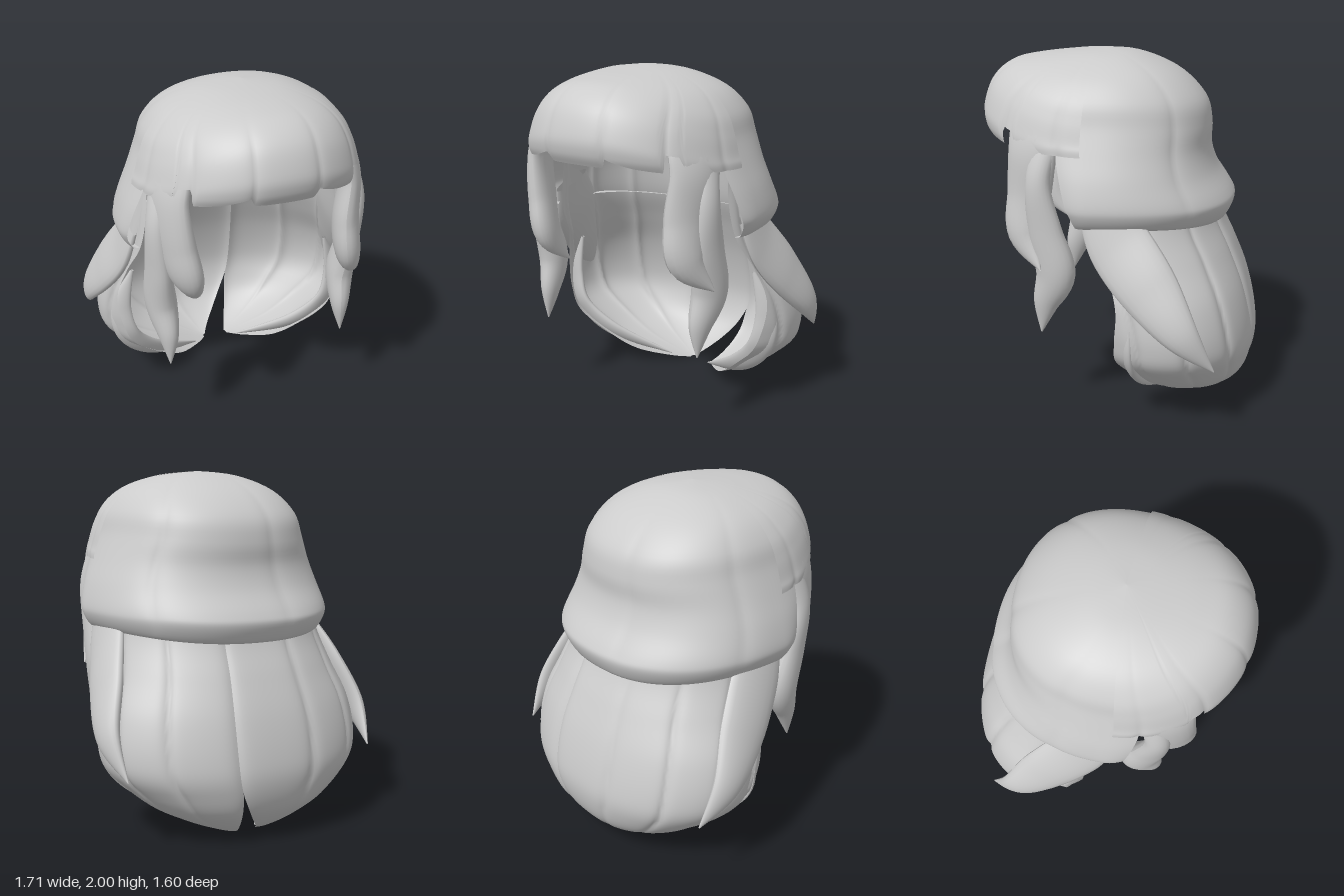
import * as THREE from 'three';

const hairMat = new THREE.MeshStandardMaterial({ color: 0xcccccc, side: THREE.DoubleSide });
hairMat.name = 'hair grey';

const rad = THREE.MathUtils.degToRad;
const bend = (v, e = 0.88) => Math.sign(v) * Math.pow(Math.abs(v), e); // squarer than an ellipse

// Smooth (Catmull-Rom) interpolation through rows of numbers, t = 0..1
function sample(rows, t) {
  const f = t * (rows.length - 1), i = Math.min(Math.floor(f), rows.length - 2), u = f - i;
  const at = (k) => rows[Math.max(0, Math.min(rows.length - 1, k))];
  return rows[0].map((_, c) => {
    const [p, q, r, s] = [at(i - 1)[c], at(i)[c], at(i + 1)[c], at(i + 2)[c]];
    return q + 0.5 * u * (r - p + u * (2 * p - 5 * q + 4 * r - s + u * (3 * (q - r) + s - p)));
  });
}

// Piecewise linear lookup
function lookup(table, x) {
  for (let i = 1; i < table.length; i++) {
    const [x0, y0] = table[i - 1], [x1, y1] = table[i];
    if (x <= x1) return y0 + (y1 - y0) * (x - x0) / (x1 - x0);
  }
  return table[table.length - 1][1];
}

// Smooth sheet from a rule (u, v) -> [x, y, z]
function sheet(name, nu, nv, rule) {
  const pos = [], idx = [];
  for (let j = 0; j <= nv; j++)
    for (let i = 0; i <= nu; i++) pos.push(...rule(i / nu, j / nv));
  for (let j = 0; j < nv; j++)
    for (let i = 0; i < nu; i++) {
      const a = j * (nu + 1) + i, b = a + nu + 1;
      idx.push(a, a + 1, b, a + 1, b + 1, b);
    }
  const geo = new THREE.BufferGeometry();
  geo.setAttribute('position', new THREE.Float32BufferAttribute(pos, 3));
  geo.setIndex(idx);
  geo.computeVertexNormals();
  const mesh = new THREE.Mesh(geo, hairMat);
  mesh.name = name;
  return mesh;
}

// Tapered lock: path rows are [x, y, z, halfWidth, halfThickness]; out is its facing direction
function lock(name, rows, out) {
  const n = new THREE.Vector3(...out).normalize();
  const frame = (t) => {
    const p = sample(rows, t);
    const a = sample(rows, Math.max(0, t - 0.01)), b = sample(rows, Math.min(1, t + 0.01));
    const tan = new THREE.Vector3(b[0] - a[0], b[1] - a[1], b[2] - a[2]).normalize();
    const wide = new THREE.Vector3().crossVectors(tan, n).normalize();
    return { p, wide, thick: new THREE.Vector3().crossVectors(wide, tan) };
  };
  return sheet(name, 20, 36, (u, v) => {
    const { p, wide, thick } = frame(v);
    const a = u * Math.PI * 2, w = p[3] * Math.cos(a), h = p[4] * Math.sin(a);
    return [0, 1, 2].map((k) => p[k] + wide.getComponent(k) * w + thick.getComponent(k) * h);
  });
}

const groove = (a, n, depth) => 1 - depth * Math.pow(1 - Math.abs(Math.sin(a * n)), 4);

export function createModel() {
  const group = new THREE.Group();
  group.name = 'hair';

  // Rounded cap: back radius, back y, side radius, side y, front radius
  const capRows = [
    [0, 2.0, 0, 2.0, 0], [0.2, 1.975, 0.24, 1.97, 0.2], [0.42, 1.88, 0.43, 1.89, 0.4],
    [0.57, 1.74, 0.54, 1.77, 0.52], [0.61, 1.6, 0.585, 1.64, 0.58], [0.61, 1.47, 0.64, 1.5, 0.58],
    [0.65, 1.35, 0.69, 1.37, 0.5], [0.73, 1.23, 0.72, 1.25, 0.4], [0.75, 1.17, 0.715, 1.19, 0.32],
    [0.71, 1.08, 0.68, 1.13, 0.25], [0.67, 1.07, 0.64, 1.12, 0.22],
  ];
  group.add(sheet('cap', 96, 50, (u, v) => {
    const a = rad(106) * (1 - 2 * u), c = Math.cos(a), s2 = Math.sin(a) ** 2;
    const [rb, yb, rs, ys, rf] = sample(capRows, v);
    const m = groove(a + 0.2, 3, 0.02 * Math.sin(Math.PI * Math.min(1, v * 1.1)));
    return [m * rs * bend(Math.sin(a)), ys * s2 + yb * (1 - s2), 0.1 - m * (c > 0 ? rb : rf) * bend(c)];
  }));

  // Fringe: front radius, front y, side radius, side y; the teeth table trims its lower edge
  const fringeRows = [
    [0, 2.0, 0, 2.0], [0.2, 1.985, 0.23, 1.975], [0.38, 1.965, 0.43, 1.895], [0.53, 1.93, 0.545, 1.78],
    [0.64, 1.84, 0.595, 1.67], [0.695, 1.7, 0.625, 1.57], [0.69, 1.61, 0.64, 1.53], [0.66, 1.55, 0.645, 1.5],
  ];
  const teeth = [[0, 1], [14, 1], [15.5, 0.87], [28, 0.95], [42, 1], [45, 0.74], [52, 0.74], [54, 1], [90, 1]];
  group.add(sheet('fringe', 140, 36, (u, v) => {
    const deg = 86 * (2 * u - 1), b = rad(deg), s2 = Math.sin(b) ** 2;
    const [rf, yf, rs, ys] = sample(fringeRows, v * lookup(teeth, Math.abs(deg)));
    const m = groove(b - rad(15.5), 6, 0.02 * v);
    return [m * rs * bend(Math.sin(b), 0.95), ys * s2 + yf * (1 - s2), 0.1 + m * rf * bend(Math.cos(b), 0.95)];
  }));

  // Long back hair: y, half width, back z, front z, half opening angle
  const backRows = [
    [1.86, 0.38, -0.3, 0.1, 90], [1.6, 0.53, -0.47, 0.12, 95], [1.35, 0.61, -0.52, 0.17, 112],
    [1.1, 0.65, -0.57, 0.14, 112], [0.9, 0.7, -0.66, 0.02, 108], [0.7, 0.77, -0.74, -0.04, 112],
    [0.5, 0.79, -0.79, -0.03, 120], [0.35, 0.74, -0.8, -0.03, 125], [0.2, 0.55, -0.76, -0.11, 130],
    [0.1, 0.34, -0.68, -0.2, 130], [0.03, 0.13, -0.58, -0.36, 130], [0, 0.01, -0.5, -0.47, 130],
  ];
  // Two sheets parting at a narrow notch, each with its own tip
  const split = rad(15);
  for (const [name, side, tip] of [['backHairRight', -1, -0.04], ['backHairLeft', 1, 0.1]]) {
    group.add(sheet(name, 80, 64, (u, v) => {
      const [y, rx, zb, zf, open] = sample(backRows, v);
      const A = rad(open), a = side < 0 ? split - u * (split + A) : A - u * (A - split);
      const m = groove(a - split, 6, 0.035 * Math.sin(Math.PI * v));
      const shift = tip * Math.pow(Math.max(0, 1 - y / 0.3), 1.2);
      const mid = zb + (zf - zb) / (1 - Math.cos(A));
      return [shift + m * rx * bend(Math.sin(a)), Math.max(0, y), mid - m * (mid - zb) * Math.cos(a)];
    }));
  }

  for (const s of [-1, 1]) {
    const side = s > 0 ? 'Left' : 'Right';
    const path = (rows) => rows.map(([x, ...rest]) => [s * x, ...rest]);

    // Front lock beside the face, tucked under the fringe
    const tipX = s > 0 ? 0.62 : 0.37, lowX = s > 0 ? 0.51 : 0.44;
    group.add(lock('frontLock' + side, path([
      [0.47, 1.76, 0.38, 0.08, 0.02], [0.5, 1.64, 0.41, 0.15, 0.045], [0.52, 1.48, 0.43, 0.15, 0.06],
      [0.49, 1.25, 0.46, 0.135, 0.075], [lowX, 1.04, 0.48, 0.11, 0.07], [tipX, 0.87, 0.38, 0.005, 0.005],
    ]), [s, 0, 0.45]));

    // Longer lock behind it
    group.add(lock('longLock' + side, path([
      [0.55, 1.58, 0.34, 0.07, 0.03], [0.58, 1.35, 0.39, 0.07, 0.05], [0.57, 1.08, 0.36, 0.1, 0.06],
      [0.55, 0.84, 0.31, 0.115, 0.08], [0.53, 0.65, 0.37, 0.075, 0.055], [0.53, 0.47, 0.4, 0.004, 0.004],
    ]), [s, 0, 0.3]));

    // Flicked lock sweeping back over the long hair, tucked under the cap
    group.add(lock('sideFlick' + side, path([
      [0.62, 1.24, 0.04, 0.13, 0.03], [0.665, 1.04, -0.06, 0.17, 0.045], [0.74, 0.83, -0.22, 0.16, 0.055],
      [0.81, 0.6, -0.4, 0.095, 0.045], [0.78, 0.4, -0.57, 0.004, 0.004],
    ]), [s, 0.1, -0.15]));

    // Inner strand curling toward the middle at the hem
    group.add(lock('innerStrand' + side, path([
      [0.62, 0.85, -0.06, 0.01, 0.01], [0.69, 0.6, -0.09, 0.06, 0.025], [0.65, 0.38, -0.1, 0.075, 0.03],
      [0.46, 0.2, -0.18, 0.06, 0.03], [0.14, 0.04, -0.38, 0.004, 0.004],
    ]), [s * 0.5, 0, 1]));
  }
  return group;
}
